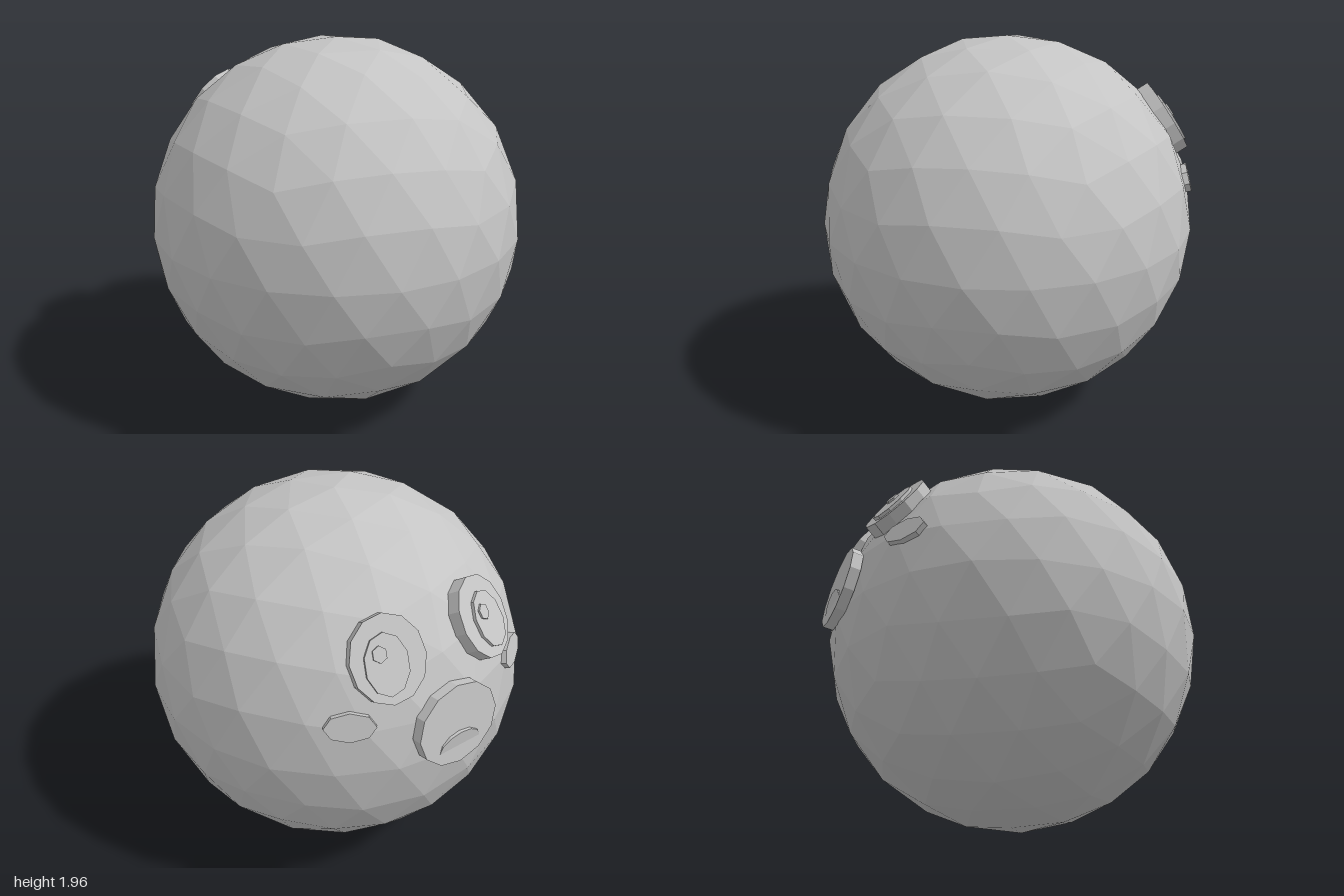
import * as THREE from 'three';

const RADIUS = 0.978;
const CENTRE = new THREE.Vector3(0, 0.979, 0.022);

// Icosphere with a vertex at each pole; every split is pushed back onto the sphere
function icosphere(radius, splits) {
  const ring = (lat, turn) => new THREE.Vector3(
    Math.cos(lat) * Math.cos(turn), Math.sin(lat), -Math.cos(lat) * Math.sin(turn));
  const lat = Math.atan(0.5), step = Math.PI * 2 / 5;
  const top = new THREE.Vector3(0, 1, 0), bottom = new THREE.Vector3(0, -1, 0);
  let faces = [];
  for (let k = 0; k < 5; k++) {
    const u0 = ring(lat, k * step), u1 = ring(lat, (k + 1) * step);
    const l0 = ring(-lat, (k + 0.5) * step), l1 = ring(-lat, (k + 1.5) * step);
    faces.push([top, u0, u1], [u0, l0, u1], [l0, l1, u1], [bottom, l1, l0]);
  }
  const mid = (a, b) => a.clone().add(b).normalize();
  for (let s = 0; s < splits; s++) {
    faces = faces.flatMap(([a, b, c]) => {
      const ab = mid(a, b), bc = mid(b, c), ca = mid(c, a);
      return [[a, ab, ca], [ab, b, bc], [ca, bc, c], [ab, bc, ca]];
    });
  }
  const points = faces.flat().map((p) => p.clone().multiplyScalar(radius));
  const geometry = new THREE.BufferGeometry().setFromPoints(points);
  geometry.computeVertexNormals();
  return geometry;
}

export function createModel() {
  const model = new THREE.Group();
  model.name = 'roundHead';
  const grey = new THREE.MeshStandardMaterial({ color: 0xc4c4c4, flatShading: true });
  grey.name = 'grey';

  // Oval disc whose outer face lies at z = front, extending back by depth
  function disc(name, rx, ry, depth, sides, front, x = 0, y = 0) {
    const geometry = new THREE.CylinderGeometry(1, 1, depth, sides);
    geometry.rotateX(Math.PI / 2).scale(rx, ry, 1);
    const mesh = new THREE.Mesh(geometry, grey);
    mesh.name = name;
    mesh.position.set(x, y, front - depth / 2);
    return mesh;
  }

  // Group on the head's surface, its +z pointing straight outward
  function mount(name, x, y, z, distance) {
    const group = new THREE.Group();
    group.name = name;
    const direction = new THREE.Vector3(x, y, z).normalize();
    group.position.copy(CENTRE).addScaledVector(direction, distance);
    group.lookAt(group.position.clone().add(direction));
    model.add(group);
    return group;
  }

  const head = new THREE.Mesh(icosphere(RADIUS, 2), grey);
  head.name = 'head';
  head.position.copy(CENTRE);
  model.add(head);

  for (const side of [1, -1]) {
    const label = side > 0 ? 'left' : 'right';

    // Stacked eye discs; both pupils glance the same way
    const eye = mount(label + 'Eye', side * 0.285, 0.545, -0.79, 1.01);
    const irisX = -side * 0.012, irisY = -0.022;
    eye.add(
      disc('eyeWhite', 0.18, 0.207, 0.07, 12, 0),
      disc('iris', 0.105, 0.145, 0.04, 10, 0.016, irisX, irisY),
      disc('pupil', 0.036, 0.04, 0.04, 6, 0.026, irisX - 0.03, irisY + 0.05),
    );

    // Cheek spot
    const cheek = mount(label + 'Cheek', side * 0.51, 0.27, -0.82, 0.99);
    cheek.add(disc('cheekSpot', 0.122, 0.072, 0.04, 8, 0));
  }

  // Muzzle with a tilted mouth disc whose upper rim pokes out
  const muzzle = mount('muzzle', 0, 0.16, -0.985, 0.998);
  muzzle.add(disc('muzzlePad', 0.235, 0.209, 0.055, 12, 0));
  const mouth = disc('mouth', 0.125, 0.08, 0.02, 12, 0, 0, -0.115);
  mouth.rotation.x = 0.2;
  mouth.position.z = -0.01;
  muzzle.add(mouth);

  return model;
}
